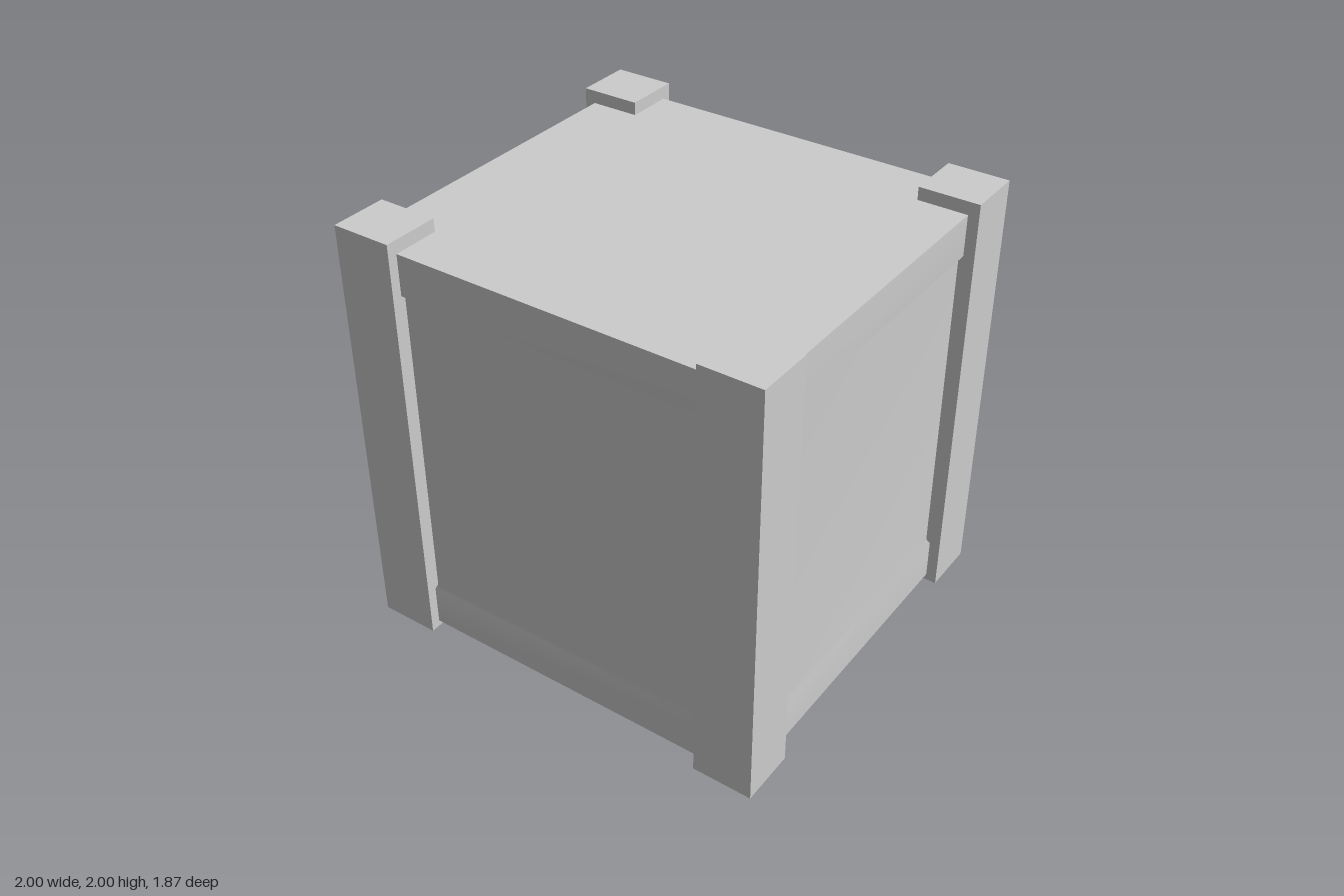
import * as THREE from 'three';

const material = new THREE.MeshStandardMaterial({ color: 0xcccccc });

// Body and post extents
const BX = 0.95, BZ = 0.89, Y0 = 0.03, Y1 = 1.94;
const PX = 1.0, PZ = 0.935, POST_W = 0.28, POST_D = 0.265;

// Side wall: flat frame stepping down to a shallow recessed panel, smooth shaded
function wallGeometry(width, height) {
  const rings = [[0, 0], [0.19, 0], [0.205, -0.02]]; // inset, depth
  const positions = [], index = [];
  for (const [inset, z] of rings) {
    const x = width / 2 - inset, y = height / 2 - inset;
    positions.push(-x, -y, z, x, -y, z, x, y, z, -x, y, z);
  }
  for (let r = 0; r < rings.length - 1; r++) {
    for (let i = 0; i < 4; i++) {
      const a = r * 4 + i, b = r * 4 + (i + 1) % 4;
      index.push(a, b, b + 4, a, b + 4, a + 4);
    }
  }
  const k = (rings.length - 1) * 4;
  index.push(k, k + 1, k + 2, k, k + 2, k + 3);
  const geometry = new THREE.BufferGeometry();
  geometry.setAttribute('position', new THREE.Float32BufferAttribute(positions, 3));
  geometry.setIndex(index);
  geometry.computeVertexNormals();
  return geometry;
}

function add(parent, name, geometry, x, y, z) {
  const mesh = new THREE.Mesh(geometry, material);
  mesh.name = name;
  mesh.position.set(x, y, z);
  parent.add(mesh);
  return mesh;
}

export function createModel() {
  const model = new THREE.Group();
  model.name = 'crate';

  // Four panelled walls
  const body = new THREE.Group();
  body.name = 'body';
  model.add(body);
  const h = Y1 - Y0, midY = (Y0 + Y1) / 2;
  ['frontWall', 'leftWall', 'backWall', 'rightWall'].forEach((name, i) => {
    const side = i % 2 === 1;
    const angle = i * Math.PI / 2;
    const offset = side ? BX : BZ;
    const wall = add(body, name, wallGeometry(2 * (side ? BZ : BX), h),
      Math.sin(angle) * offset, midY, Math.cos(angle) * offset);
    wall.rotation.y = angle;
  });

  // Flat lid and base
  const cap = new THREE.PlaneGeometry(2 * BX, 2 * BZ);
  add(body, 'lid', cap, 0, Y1, 0).rotation.x = -Math.PI / 2;
  add(body, 'base', cap, 0, Y0, 0).rotation.x = Math.PI / 2;

  // Corner posts
  const post = new THREE.BoxGeometry(POST_W, 2, POST_D);
  for (const sx of [-1, 1]) {
    for (const sz of [-1, 1]) {
      const name = (sz > 0 ? 'front' : 'back') + (sx > 0 ? 'Left' : 'Right') + 'Post';
      add(model, name, post, sx * (PX - POST_W / 2), 1, sz * (PZ - POST_D / 2));
    }
  }
  return model;
}
